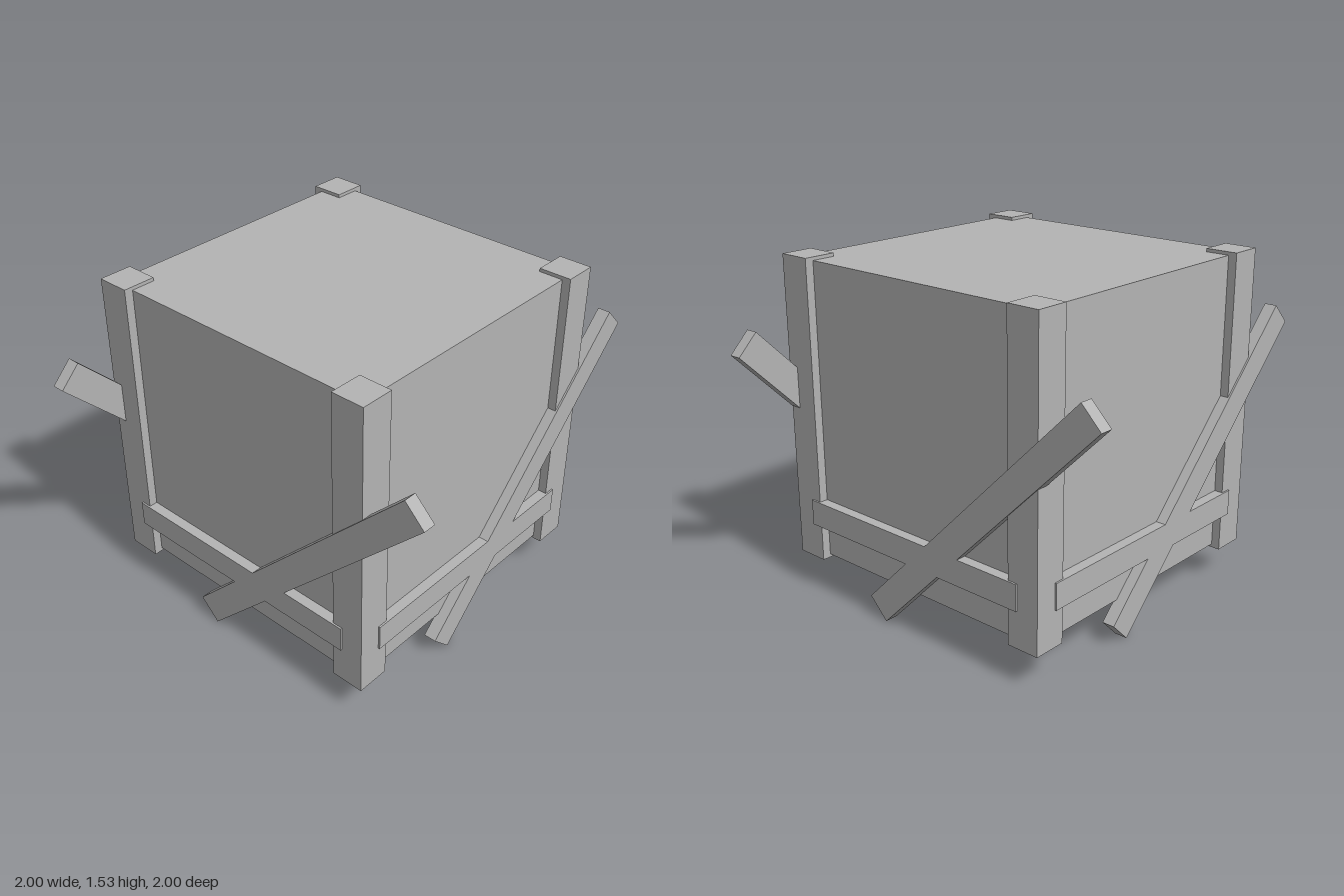
import * as THREE from 'three';

export function createModel() {
  const crate = new THREE.Group();
  crate.name = 'crate';
  const grey = new THREE.MeshStandardMaterial({ color: 0xb4b4b4 });
  grey.name = 'plain grey';

  function box(parent, name, size, position) {
    const mesh = new THREE.Mesh(new THREE.BoxGeometry(...size), grey);
    mesh.name = name;
    mesh.position.set(...position);
    parent.add(mesh);
    return mesh;
  }

  // Main box
  box(crate, 'body', [1.34, 1.342, 1.34], [0, 0.841, 0]);

  // Corner posts, slightly taller and prouder than the body
  for (const x of [-1, 1]) {
    for (const z of [-1, 1]) {
      box(crate, 'cornerPost', [0.15, 1.372, 0.15], [x * 0.634, 0.841, z * 0.634]);
    }
  }

  // Each side carries a level slat and a long diagonal plank
  for (let i = 0; i < 4; i++) {
    const side = new THREE.Group();
    side.name = 'sidePlanks';
    side.rotation.y = i * Math.PI / 2;
    box(side, 'levelSlat', [1.212, 0.117, 0.058], [0, 0.378, 0.688]);
    const plank = box(side, 'diagonalPlank', [1.618, 0.13, 0.058], [0.382, 0.619, 0.688]);
    plank.rotation.z = Math.PI / 4;
    crate.add(side);
  }
  return crate;
}
